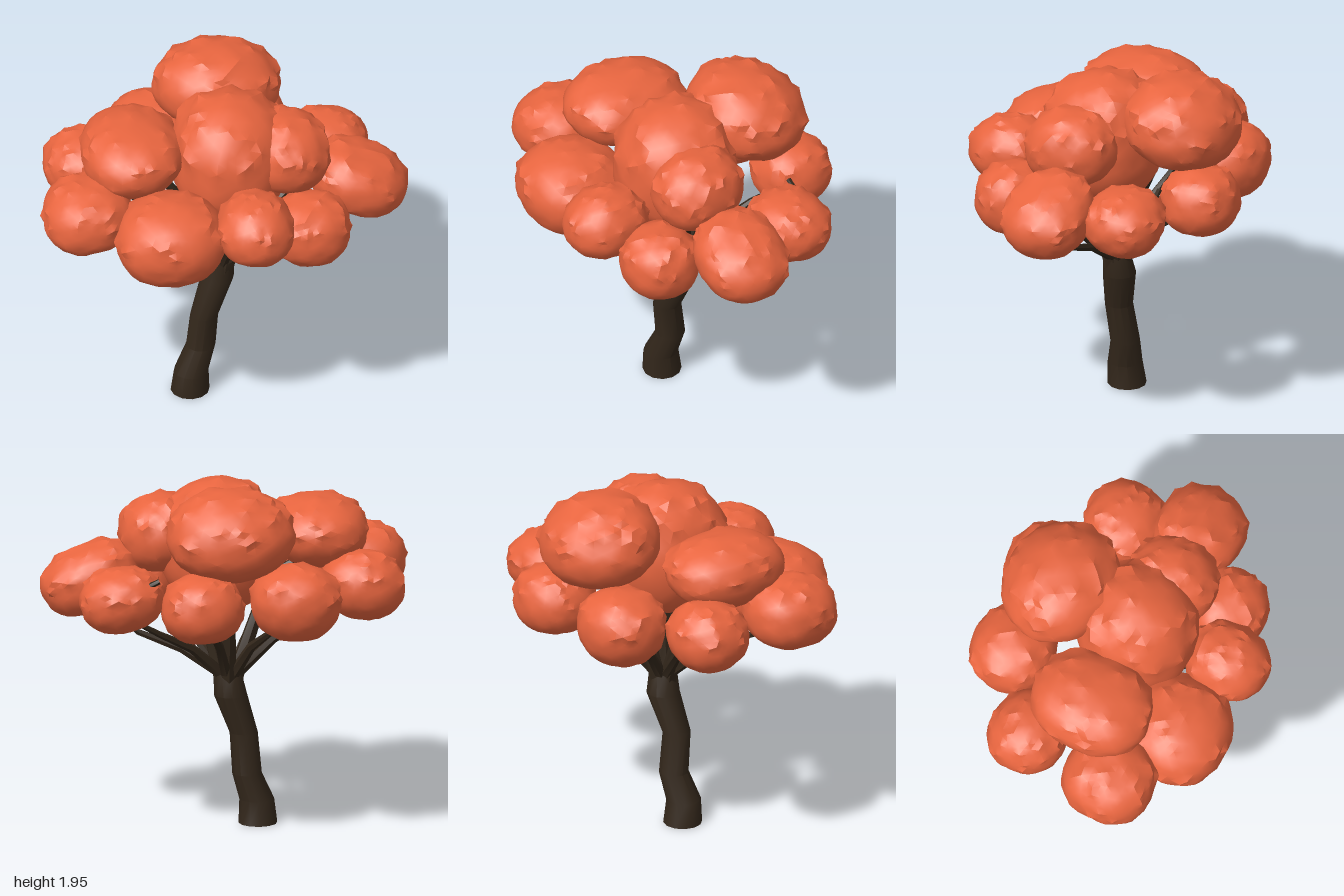
import * as THREE from 'three';
import { toCreasedNormals } from 'three/addons/utils/BufferGeometryUtils.js';

const bark = new THREE.MeshStandardMaterial({ color: 0x33271b });
const leaf = new THREE.MeshStandardMaterial({ color: 0xe8653f });

// Repeatable value in 0..1 for a point
function hash(v, seed) {
  const s = Math.sin(Math.round(v.x * 500) * 12.9898 + Math.round(v.y * 500) * 78.233
    + Math.round(v.z * 500) * 37.719 + seed * 4.137) * 43758.5453;
  return s - Math.floor(s);
}

// Tapered limb through rings [x, y, z, radius]; level rings keep the cut ends flat
function limb(name, rings, sides, level) {
  const pts = rings.map(r => new THREE.Vector3(r[0], r[1], r[2]));
  const pos = [], index = [], up = new THREE.Vector3(0, 1, 0);
  rings.forEach((r, i) => {
    const dir = pts[Math.min(i + 1, pts.length - 1)].clone()
      .sub(pts[Math.max(i - 1, 0)]).normalize();
    const q = new THREE.Quaternion().setFromUnitVectors(up, level ? up : dir);
    for (let k = 0; k < sides; k++) {
      const a = k / sides * Math.PI * 2;
      const p = new THREE.Vector3(Math.sin(a) * r[3], 0, Math.cos(a) * r[3])
        .applyQuaternion(q).add(pts[i]);
      pos.push(p.x, p.y, p.z);
      if (i > 0) {
        const n = (k + 1) % sides, a0 = (i - 1) * sides, b0 = i * sides;
        index.push(a0 + k, a0 + n, b0 + n, a0 + k, b0 + n, b0 + k);
      }
    }
  });
  // End caps as fans
  const last = (rings.length - 1) * sides;
  for (let k = 1; k < sides - 1; k++) {
    index.push(0, k + 1, k, last, last + k, last + k + 1);
  }
  const geo = new THREE.BufferGeometry();
  geo.setAttribute('position', new THREE.Float32BufferAttribute(pos, 3));
  geo.setIndex(index);
  const mesh = new THREE.Mesh(toCreasedNormals(geo, 0.6), bark);
  mesh.name = name;
  return mesh;
}

// Lumpy leaf clump: a slightly squared ellipsoid with leafy points on its upper half
function clump(name, [x, y, z], [rx, ry, rz], lean, seed) {
  const geo = new THREE.IcosahedronGeometry(1, 6);
  geo.deleteAttribute('uv');
  const p = geo.attributes.position, v = new THREE.Vector3();
  for (let i = 0; i < p.count; i++) {
    v.fromBufferAttribute(p, i).normalize();
    const e = 2.2;
    const square = Math.pow(Math.abs(v.x) ** e + Math.abs(v.y) ** e + Math.abs(v.z) ** e, -1 / e);
    const swell = 0.014 * (Math.sin(v.x * 3.1 + seed) + Math.sin(v.y * 3.7 + seed * 2.3)
      + Math.sin(v.z * 3.3 + seed * 1.7)) + 0.014 * Math.sin(v.x * 9 + seed) * Math.sin(v.z * 8 + v.y * 7);
    const h = hash(v, seed);
    const rough = v.y > 0.1 && h > 0.85 ? 0.055 : (h - 0.5) * 0.025;
    v.multiplyScalar(square * (0.985 + swell + rough));
    p.setXYZ(i, v.x * rx, v.y * ry, v.z * rz);
  }
  const mesh = new THREE.Mesh(toCreasedNormals(geo, 0.5), leaf);
  mesh.name = name;
  mesh.position.set(x, y, z);
  // Lean dips the outer edge, away from the trunk
  mesh.quaternion.setFromAxisAngle(new THREE.Vector3(z, 0, -x).normalize(), lean);
  return mesh;
}

export function createModel() {
  const tree = new THREE.Group();
  tree.name = 'tree';

  // Crooked trunk
  tree.add(limb('trunk', [
    [-0.16, 0, 0.01, 0.105], [-0.155, 0.13, 0.02, 0.094], [-0.1, 0.28, -0.005, 0.08],
    [-0.085, 0.5, 0.025, 0.076], [-0.01, 0.72, -0.01, 0.09], [0.005, 0.84, 0, 0.075],
  ], 12, true));

  // Leaf clumps: centre, radii, lean, steepness of the branch below
  const crown = [
    [[0.03, 1.71, -0.4], [0.345, 0.235, 0.315], 0.22, 1],
    [[0.05, 1.55, 0.06], [0.335, 0.355, 0.33], 0, 1],
    [[-0.48, 1.61, 0.05], [0.28, 0.195, 0.33], 0, 1],
    [[0.36, 1.6, 0.11], [0.22, 0.215, 0.26], 0.25, 1],
  ];
  const skirt = [
    [[0.74, 1.37, 0.08], [0.275, 0.18, 0.255], 0.4, 0.64],
    [[0.61, 1.345, -0.31], [0.23, 0.18, 0.215], 0.15, 0.85],
    [[0.2, 1.35, -0.58], [0.23, 0.19, 0.21], 0, 1],
    [[-0.31, 1.355, -0.51], [0.25, 0.205, 0.235], 0, 1],
    [[-0.7, 1.37, -0.22], [0.23, 0.19, 0.215], 0.1, 1],
    [[-0.745, 1.395, 0.29], [0.25, 0.19, 0.255], 0.1, 0.9],
    [[-0.32, 1.33, 0.48], [0.295, 0.24, 0.3], 0, 1],
    [[0.13, 1.41, 0.555], [0.205, 0.19, 0.24], 0, 1],
    [[0.44, 1.285, 0.41], [0.23, 0.195, 0.21], 0, 1],
  ];
  const branches = new THREE.Group();
  branches.name = 'branches';
  const foliage = new THREE.Group();
  foliage.name = 'foliage';
  crown.concat(skirt).forEach(([c, r, lean, steep], i) => {
    foliage.add(clump('leafClump' + (i + 1), c, r, lean, i + 1));
    // Branch fans out from the trunk top and bends on its way to the clump
    const [x, y, z] = c, d = Math.hypot(x, z), low = i >= crown.length;
    const w = low ? 0.034 : 0.046;
    const rise = f => 0.84 + (y - r[1] - 0.84) * f * steep;
    branches.add(limb('branch' + (i + 1), [
      [x / d * 0.025, 0.74, z / d * 0.025, w],
      [x / d * 0.045, 0.84, z / d * 0.045, w],
      [x * 0.34, rise(0.6), z * 0.34, w * 0.75],
      [x * 0.65, rise(1), z * 0.65, w * 0.5],
      [x * 0.95, y - r[1] * 0.6, z * 0.95, w * 0.35],
    ], 6, false));
  });

  // Twig end showing through a rear clump
  branches.add(limb('twig', [
    [0.53, 1.37, -0.36, 0.018], [0.49, 1.44, -0.43, 0.017], [0.42, 1.47, -0.43, 0.015],
  ], 6, false));

  tree.add(branches, foliage);
  return tree;
}
